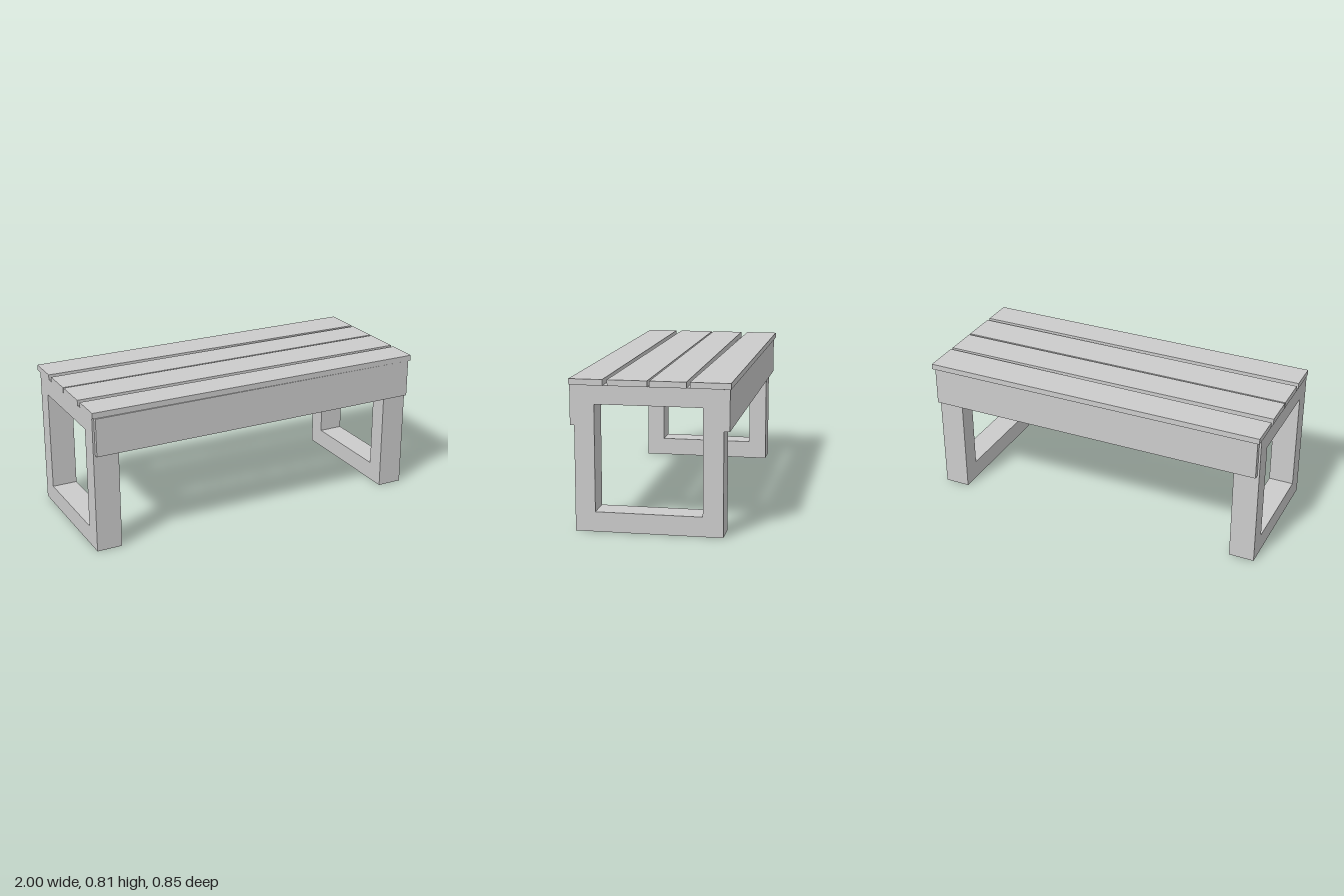
import * as THREE from 'three';

const material = new THREE.MeshStandardMaterial({ color: 0xcccccc, flatShading: true });

function addMesh(group, name, geometry) {
  const mesh = new THREE.Mesh(geometry, material);
  mesh.name = name;
  group.add(mesh);
  return mesh;
}

// Closed rectangular path in the z-y plane (shape x = -z)
function rectangle(PathType, z0, z1, y0, y1) {
  const path = new PathType();
  path.moveTo(-z1, y0).lineTo(-z0, y0).lineTo(-z0, y1).lineTo(-z1, y1).closePath();
  return path;
}

// Board with a slightly skewed plan: back and front z at its -x and +x ends
function board(x0, x1, y0, y1, [back0, front0], [back1, front1]) {
  const shape = new THREE.Shape();
  shape.moveTo(x0, -front0).lineTo(x1, -front1).lineTo(x1, -back1).lineTo(x0, -back0).closePath();
  const geometry = new THREE.ExtrudeGeometry(shape, { depth: y1 - y0, bevelEnabled: false });
  return geometry.rotateX(-Math.PI / 2).translate(0, y0, 0);
}

export function createModel() {
  const bench = new THREE.Group();
  bench.name = 'bench';

  // Square leg frames, open in the middle
  const profile = rectangle(THREE.Shape, -0.385, 0.402, 0, 0.783);
  profile.holes.push(rectangle(THREE.Path, -0.277, 0.295, 0.107, 0.682));
  for (const [name, x0, x1] of [['rightLegFrame', -0.998, -0.853], ['leftLegFrame', 0.839, 0.985]]) {
    const geometry = new THREE.ExtrudeGeometry(profile, { depth: x1 - x0, bevelEnabled: false });
    addMesh(bench, name, geometry.rotateY(Math.PI / 2).translate(x0, 0, 0));
  }

  // Long aprons outside the leg frames
  addMesh(bench, 'frontApron', board(-0.987, 0.984, 0.567, 0.783, [0.402, 0.425], [0.402, 0.425]));
  addMesh(bench, 'backApron', board(-0.987, 0.984, 0.562, 0.783, [-0.416, -0.385], [-0.416, -0.385]));

  // Seat slats, laid a little unevenly
  const slats = [
    [[-0.427, -0.238], [-0.423, -0.212]],
    [[-0.199, -0.011], [-0.193, -0.001]],
    [[-0.002, 0.204], [0.011, 0.221]],
    [[0.238, 0.416], [0.246, 0.425]],
  ];
  slats.forEach(([start, end], i) => {
    addMesh(bench, `seatSlat${i + 1}`, board(-1, 1, 0.783, 0.815, start, end));
  });

  return bench;
}
